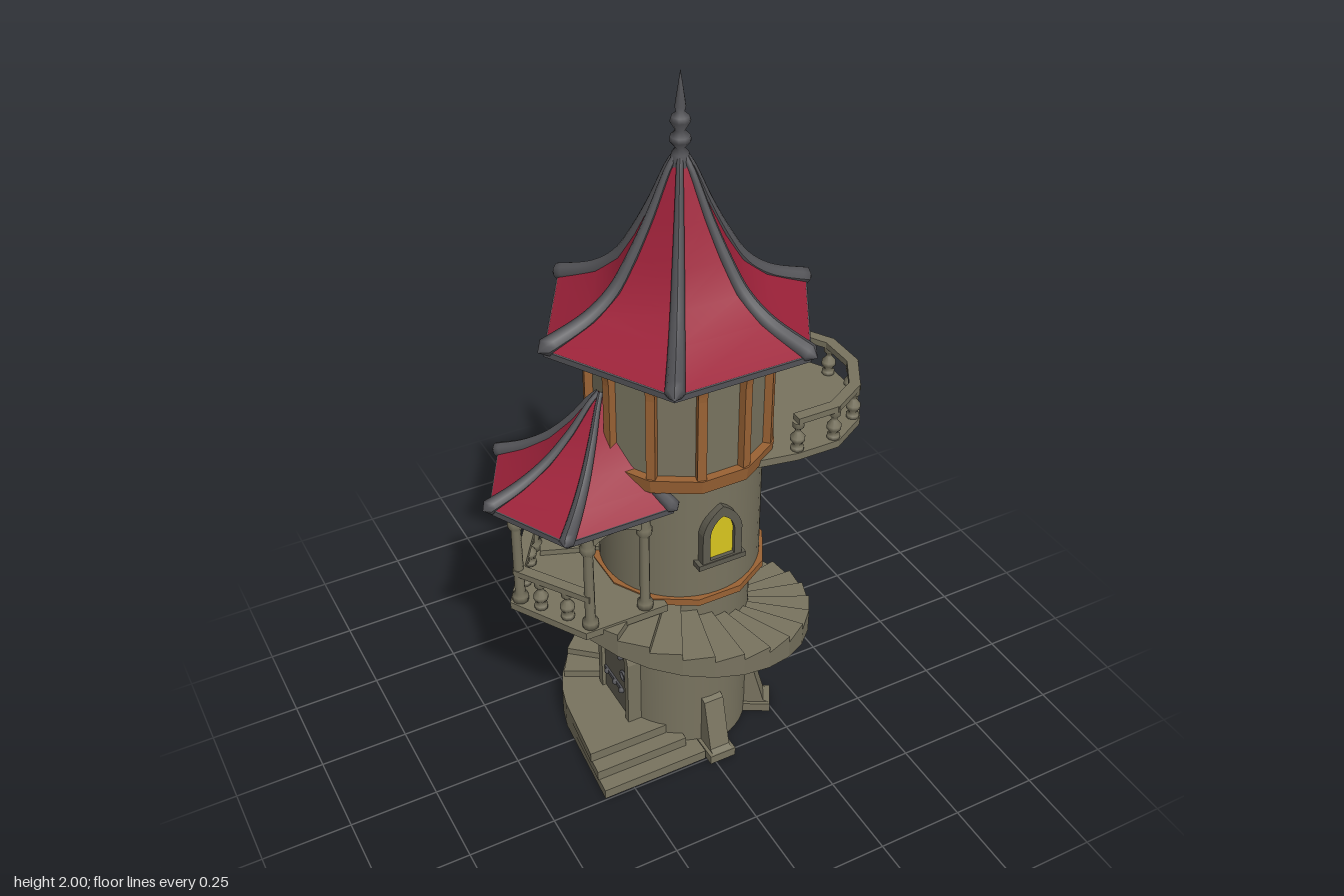
import * as THREE from 'three';
import { mergeVertices } from 'three/addons/utils/BufferGeometryUtils.js';

const mat = (name, color) => {
  const m = new THREE.MeshStandardMaterial({ color });
  m.name = name;
  return m;
};
const CX = 0.023; // tower axis

export function createModel() {
  const stone = mat('stone', 0x78735f);
  const wood = mat('wood', 0x9a6234);
  const red = mat('redRoof', 0x9c2139);
  const grey = mat('greyTrim', 0x525256);
  const yellow = mat('windowGlow', 0xd8c51f);
  const doorGrey = mat('doorGrey', 0x5e5b4f);
  const model = new THREE.Group();
  model.name = 'stairTower';

  const add = (name, geo, material, x = 0, y = 0, z = 0, parent = model) => {
    const m = new THREE.Mesh(geo, material);
    m.name = name;
    m.position.set(x, y, z);
    parent.add(m);
    return m;
  };
  const group = (name, x, y, z, turn = 0) => {
    const g = new THREE.Group();
    g.name = name;
    g.position.set(x, y, z);
    g.rotation.y = turn;
    model.add(g);
    return g;
  };
  const facet = (geo) => {
    const g = geo.toNonIndexed();
    g.computeVertexNormals();
    return g;
  };
  const lathe = (pts, n = 10) => new THREE.LatheGeometry(pts.map(p => new THREE.Vector2(...p)), n);
  const extrude = (shape, depth) => new THREE.ExtrudeGeometry(shape, { depth, bevelEnabled: false, curveSegments: 8 });
  const slab = (pts, h) => extrude(new THREE.Shape(pts.map(p => new THREE.Vector2(p[0], -p[1]))), h).rotateX(-Math.PI / 2);
  const quads = (list) => {
    const pos = [];
    for (const [a, b, c, d] of list) pos.push(...a, ...b, ...c, ...a, ...c, ...d);
    const g = new THREE.BufferGeometry();
    g.setAttribute('position', new THREE.Float32BufferAttribute(pos, 3));
    return g;
  };
  const flat = (list) => {
    const g = quads(list);
    g.computeVertexNormals();
    return g;
  };
  const smooth = (list) => {
    const g = mergeVertices(quads(list));
    g.computeVertexNormals();
    return g;
  };

  // Tower body, bands and upper room
  const drum = (name, r0, r1, y0, y1, n, m) => add(name,
    n > 20 ? new THREE.CylinderGeometry(r1, r0, y1 - y0, n)
      : facet(new THREE.CylinderGeometry(r1, r0, y1 - y0, n).rotateY(Math.PI / 12)), m, CX, (y0 + y1) / 2, 0);
  drum('lowerTower', 0.197, 0.197, 0, 0.6, 48, stone);
  drum('upperTower', 0.222, 0.222, 0.592, 0.98, 48, stone);
  drum('lowerBand', 0.24, 0.24, 0.585, 0.606, 12, wood);
  drum('upperBand', 0.25, 0.256, 0.97, 1.012, 12, wood);
  drum('roomWall', 0.232, 0.232, 1.01, 1.35, 12, stone);
  const postShape = new THREE.Shape();
  postShape.moveTo(0.215, 1.01);
  postShape.lineTo(0.25, 1.01);
  postShape.lineTo(0.25, 1.25);
  postShape.quadraticCurveTo(0.253, 1.315, 0.287, 1.345);
  postShape.lineTo(0.215, 1.345);
  for (let k = 0; k < 12; k++) {
    const g = group('roomPost', CX, 0, 0, (k + 0.5) * Math.PI / 6);
    add('post', extrude(postShape, 0.024), wood, 0, 0, -0.012, g);
  }

  // Roofs: scaled corner outlines, ridge ribs and an eave board
  const roof = (name, x, corners, profile, ribR, outset) => {
    const at = (c, t, y) => [c[0] * t, y, c[1] * t];
    const g = group(name, x, 0, 0);
    corners.forEach((a, i) => {
      const b = corners[(i + 1) % corners.length], faces = [];
      for (let k = 0; k + 1 < profile.length; k++) {
        const [t0, y0] = profile[k], [t1, y1] = profile[k + 1];
        faces.push([at(b, t0, y0), at(a, t0, y0), at(a, t1, y1), at(b, t1, y1)]);
      }
      add('roofTiles', smooth(faces), red, 0, 0, 0, g);
    });
    add('eaveBoard', slab(corners.map(c => [c[0] * 1.01, c[1] * 1.01]), 0.016), grey, 0, profile[0][1] - 0.018, 0, g);
    for (const c of corners) {
      const pts = [[outset, profile[0][1] - 0.003], ...profile.slice(1)].map(([t, y]) => new THREE.Vector3(...at(c, t, y)));
      const curve = new THREE.CatmullRomCurve3(pts), segs = 28, sides = 8;
      const tube = new THREE.TubeGeometry(curve, segs, 1, sides);
      const p = tube.attributes.position, v = new THREE.Vector3();
      for (let i = 0; i < p.count; i++) {
        const u = Math.floor(i / (sides + 1)) / segs, o = curve.getPointAt(u);
        const w = u === 0 ? 0.001 : ribR * (1 - 0.68 * u);
        v.fromBufferAttribute(p, i).sub(o).multiplyScalar(w).add(o);
        p.setXYZ(i, v.x, v.y, v.z);
      }
      tube.computeVertexNormals();
      add('roofRib', tube, grey, 0, 0, 0, g);
    }
  };
  const hex = [...Array(6)].map((_, i) => [0.37 * Math.cos(i * Math.PI / 3), 0.37 * Math.sin(i * Math.PI / 3)]);
  roof('mainRoof', CX, hex, [[1, 1.357], [0.68, 1.41], [0.49, 1.468], [0.35, 1.55], [0.22, 1.645], [0.085, 1.76], [0.035, 1.79]], 0.025, 1.05);
  roof('porchRoof', -0.2, [[0.09, -0.215], [0.09, 0.215], [-0.205, 0.215], [-0.32, 0], [-0.205, -0.215]],
    [[1, 0.935], [0.75, 0.97], [0.5, 1.02], [0.28, 1.09], [0.1, 1.165], [0.02, 1.19]], 0.021, 1.06);
  add('finial', lathe([[0.026, 1.76], [0.022, 1.795], [0.012, 1.808], [0.027, 1.826], [0.025, 1.838], [0.012, 1.852],
    [0.026, 1.876], [0.022, 1.888], [0.011, 1.898], [0.014, 1.912], [0.0005, 2]], 10), grey, CX);

  // Spiral stairs: treads and risers over a smooth sloping soffit
  const flight = (name, s0, s1, y0, y1, r0, r1, n) => {
    const steps = [], soffit = [];
    const mix = (a, b, t) => a + (b - a) * t;
    const pt = (u, inner, y) => {
      const s = mix(s0, s1, u), r = inner ? 0.18 : mix(r0, r1, u);
      return [CX - r * Math.cos(s), Math.max(y, 0), -r * Math.sin(s)];
    };
    const under = (u, inner) => pt(u, inner, mix(y0, y1, u) - (inner ? 0.075 : 0.055));
    for (let k = 0; k < n; k++) {
      const a = k / n, b = (k + 1) / n, low = mix(y0, y1, a), top = mix(y0, y1, b);
      const [ai, ao, bo, bi] = [pt(a, true, top), pt(a, false, top), pt(b, false, top), pt(b, true, top)];
      steps.push([bi, bo, ao, ai]);
      steps.push(k ? [pt(a, false, low), pt(a, true, low), ai, ao] : [under(a, false), under(a, true), ai, ao]);
      steps.push([under(b, false), under(a, false), ao, bo]);
      if (k === n - 1) steps.push([under(b, true), under(b, false), bo, bi]);
      soffit.push([under(a, true), under(a, false), under(b, false), under(b, true)]);
    }
    add(name, flat(steps), stone);
    add(name + 'Soffit', smooth(soffit), stone);
  };
  const deg = Math.PI / 180;
  flight('lowerStairs', 28 * deg, 335 * deg, 0.095, 0.595, 0.338, 0.395, 24);
  flight('upperStairs', 21 * deg, 152 * deg, 0.595, 0.972, 0.385, 0.385, 16);

  // Entrance landing with a rounded back, and steps
  const backEdge = [50, 40, 30, 20, 10].map(a => [CX - 0.345 * Math.cos(a * deg), -0.345 * Math.sin(a * deg)]);
  [[0.245, -0.02], [0.2, -0.06], [0.155, -0.1]].forEach(([z, x], i) => add('entranceStep',
    slab([...backEdge, [-0.34, z], [x, z], [x, 0.1], [-0.1, -0.13]], 0.031), stone, 0, 0.031 * i, 0));

  // Buttresses
  const buttress = new THREE.Shape([[0.17, 0], [0.268, 0], [0.268, 0.028], [0.252, 0.035], [0.212, 0.185], [0.17, 0.2]].map(p => new THREE.Vector2(...p)));
  for (const a of [30, 90, -30, -90]) {
    const g = group('buttress', CX, 0, 0, a * deg);
    add('buttressBody', extrude(buttress, 0.06), stone, 0, 0, -0.03, g);
    add('buttressFoot', new THREE.BoxGeometry(0.09, 0.028, 0.08), stone, 0.227, 0.014, 0, g);
  }

  // Pointed and rounded openings
  const arch = (S, w, y0, ys, yt) => {
    const s = new S();
    s.moveTo(-w, y0);
    s.lineTo(w, y0);
    s.lineTo(w, ys);
    s.quadraticCurveTo(w * 0.85, (ys + yt) / 2 + 0.01, 0, yt);
    s.quadraticCurveTo(-w * 0.85, (ys + yt) / 2 + 0.01, -w, ys);
    return s;
  };
  const frame = arch(THREE.Shape, 0.058, 0.72, 0.825, 0.905);
  frame.holes.push(arch(THREE.Path, 0.036, 0.738, 0.82, 0.873));
  add('windowFrame', extrude(frame, 0.04), doorGrey, CX, 0, 0.2);
  add('windowPane', extrude(arch(THREE.Shape, 0.037, 0.737, 0.82, 0.874), 0.009), yellow, CX, 0, 0.22);
  add('windowSill', new THREE.BoxGeometry(0.14, 0.016, 0.045), doorGrey, CX, 0.723, 0.22);

  const door = group('door', CX, 0, 0, -Math.PI / 2);
  const doorFrame = arch(THREE.Shape, 0.095, 0.09, 0.31, 0.415);
  doorFrame.holes.push(arch(THREE.Path, 0.074, 0.091, 0.305, 0.39));
  add('doorFrame', extrude(doorFrame, 0.045), stone, 0, 0, 0.168, door);
  add('doorLeaf', extrude(arch(THREE.Shape, 0.075, 0.09, 0.305, 0.391), 0.03), doorGrey, 0, 0, 0.172, door);
  for (const y of [0.17, 0.3]) {
    add('doorHinge', new THREE.BoxGeometry(0.11, 0.014, 0.008), grey, -0.015, y, 0.204, door);
    for (const x of [-0.05, 0, 0.04]) add('doorStud', new THREE.SphereGeometry(0.009, 8, 6), grey, x, y, 0.208, door);
  }
  add('doorRing', new THREE.TorusGeometry(0.014, 0.004, 6, 12), grey, 0.05, 0.235, 0.206, door);

  // Balustrades
  const balusterGeo = lathe([[0, 0], [0.018, 0], [0.018, 0.012], [0.008, 0.016], [0.02, 0.032], [0.02, 0.042],
    [0.008, 0.058], [0.008, 0.066], [0.016, 0.074], [0.016, 0.09]], 10);
  const rail = (pts, y) => {
    for (let i = 0; i + 1 < pts.length; i++) {
      const [p, q] = [pts[i], pts[i + 1]], dx = q[0] - p[0], dz = q[1] - p[1];
      const bar = new THREE.BoxGeometry(Math.hypot(dx, dz) + 0.015, 0.018, 0.03);
      add('handrail', bar, stone, (p[0] + q[0]) / 2, y + 0.098, (p[1] + q[1]) / 2).rotation.y = -Math.atan2(dz, dx);
    }
  };

  // Balcony, open at the back where the stairs arrive
  const ring = (r, angles) => angles.map(a => [0.315 + r * Math.cos(a * deg), r * Math.sin(a * deg)]);
  add('balconyFloor', slab([[0.18, -0.1], [0.345, -0.19], ...ring(0.236, [-75, -45, -15, 15, 45, 75, 105]), [0.1, 0.2]], 0.022), stone, 0, 0.965, 0);
  const balconyRail = ring(0.215, [-75, -45, -15, 15, 45, 75, 105]);
  rail(balconyRail, 0.985);
  balconyRail.forEach(([x, z]) => add('baluster', balusterGeo, stone, x, 0.985, z));

  // Porch floor, columns, arches and rail
  add('porchFloor', slab([[-0.485, 0], [-0.36, 0.205], [-0.12, 0.205], [-0.12, -0.205], [-0.36, -0.205]], 0.022), stone, 0, 0.58, 0);
  const cols = [[-0.175, 0.18], [-0.335, 0.18], [-0.455, 0], [-0.335, -0.18], [-0.175, -0.18]];
  const columnGeo = lathe([[0, 0], [0.022, 0], [0.022, 0.02], [0.014, 0.028], [0.013, 0.24], [0.021, 0.252], [0.021, 0.27], [0.016, 0.274], [0.016, 0.325]], 10);
  cols.forEach(([x, z]) => add('porchColumn', columnGeo, stone, x, 0.6, z));
  for (let i = 0; i < 4; i++) {
    const [p, q] = [cols[i], cols[i + 1]];
    const L = Math.hypot(q[0] - p[0], q[1] - p[1]);
    const s = new THREE.Shape();
    s.moveTo(0, 0.845);
    s.quadraticCurveTo(L * 0.12, 0.89, L / 2, 0.892);
    s.quadraticCurveTo(L * 0.88, 0.89, L, 0.845);
    s.lineTo(L, 0.925);
    s.lineTo(0, 0.925);
    const g = group('porchArch', p[0], 0, p[1], -Math.atan2(q[1] - p[1], q[0] - p[0]));
    add('arch', extrude(s, 0.018), stone, 0, 0, -0.009, g);
  }
  rail(cols.slice(1, 4), 0.602);
  for (const s of [-1, 1]) for (const t of [0.3, 0.68]) {
    add('baluster', balusterGeo, stone, -0.455 + 0.12 * t, 0.602, s * 0.18 * t);
  }

  // Curved brackets fanning out below the balcony and the porch
  const fan = (name, x, y, L, H, turn) => {
    const s = new THREE.Shape();
    s.moveTo(-0.03, 0);
    s.lineTo(0.008, 0);
    s.quadraticCurveTo(0.02, H * 0.75, L, H - 0.02);
    s.lineTo(L, H);
    s.lineTo(0.07, H);
    s.quadraticCurveTo(0, H * 0.85, -0.03, H * 0.6);
    for (const a of [-48, 0, 48]) {
      const g = group(name, x, y, 0, turn + a * deg);
      add('bracketArm', extrude(s, 0.026), stone, 0, 0, -0.013, g);
    }
  };
  fan('balconyBracket', 0.243, 0.775, 0.19, 0.195, 0);
  fan('porchBracket', -0.17, 0.4, 0.22, 0.185, Math.PI);

  return model;
}
